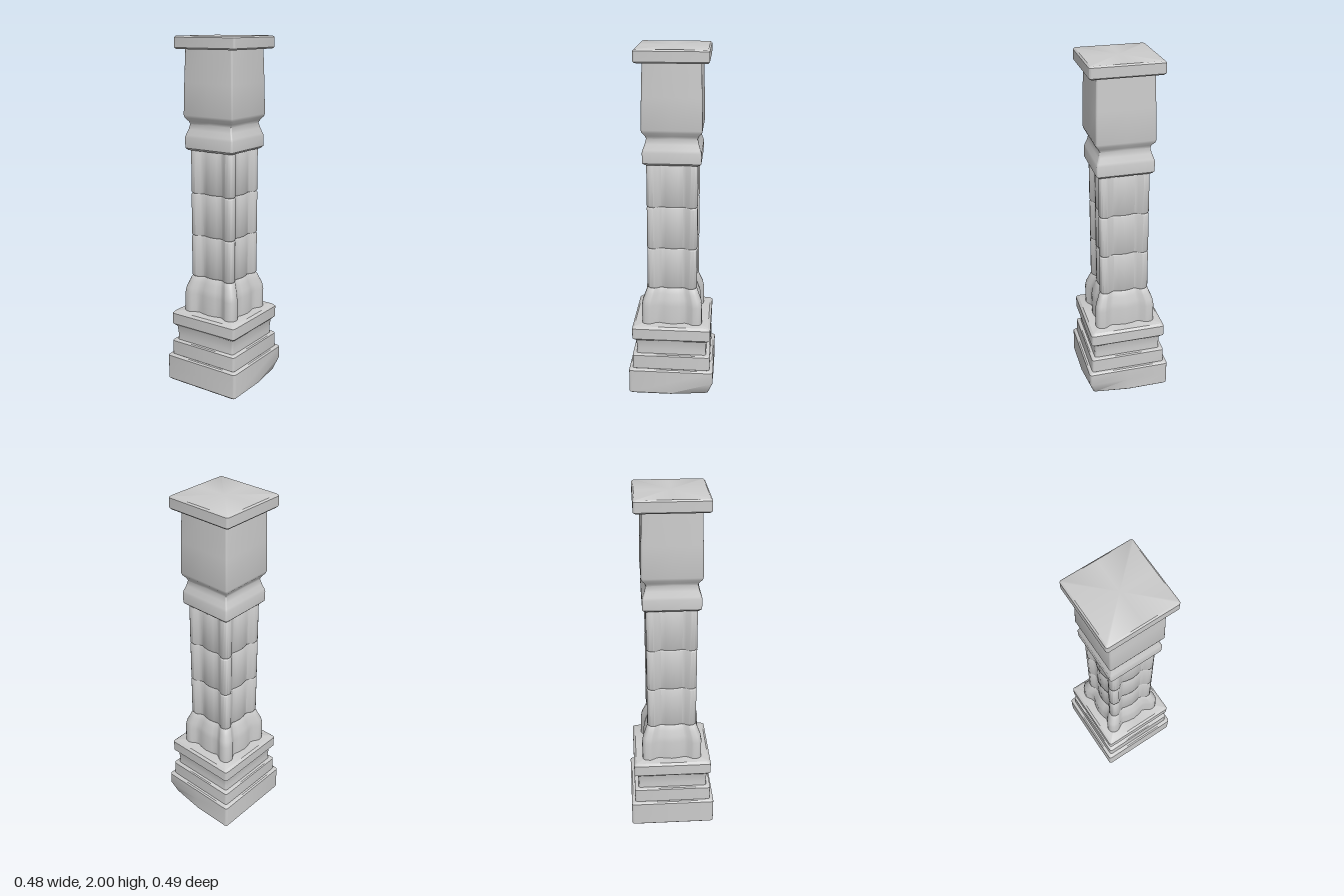
import * as THREE from 'three';
import { toCreasedNormals } from 'three/addons/utils/BufferGeometryUtils.js';

const material = new THREE.MeshStandardMaterial({ color: 0xcccccc });

// Builds a full outline from one side, given as [across, outward] points.
function fourSides(side) {
  const pts = [];
  for (let k = 0; k < 4; k++) {
    const c = Math.round(Math.cos(k * Math.PI / 2)), s = Math.round(Math.sin(k * Math.PI / 2));
    for (const [u, d] of side) pts.push([c * d - s * u, s * d + c * u]);
  }
  return pts;
}

// Quarter-round from the end of one side to the start of the next.
function cornerArc(r, steps) {
  const arc = [];
  for (let i = 0; i <= steps; i++) {
    const a = i / steps * Math.PI / 2;
    arc.push([1 - r + r * Math.sin(a), 1 - r + r * Math.cos(a)]);
  }
  return arc;
}

const square = fourSides([[0, 1], ...cornerArc(0.06, 3)]);

// Rounded corner shafts, a groove either side and a shallow rib in the middle.
const half = [[0.25, 0.9], [0.42, 0.85], [0.54, 0.89], [0.66, 0.97], [0.73, 1]];
const mirrored = half.map(([u, d]) => [-u, d]).reverse();
const fluted = fourSides([...mirrored, [0, 0.935], ...half, ...cornerArc(0.2, 4).slice(1, -1)]);

// Skins an outline through rings of [y, half width, half depth].
function loft(name, outline, rings, adjust) {
  const pos = [], index = [], n = outline.length;
  for (const [y, w, d = w] of rings) {
    for (const [x, z] of outline) {
      const p = new THREE.Vector3(x * w, y, z * d);
      if (adjust) adjust(p);
      pos.push(p.x, p.y, p.z);
    }
  }
  for (let r = 0; r < rings.length - 1; r++) {
    for (let i = 0; i < n; i++) {
      const a = r * n + i, b = r * n + (i + 1) % n;
      index.push(a, a + n, b, b, a + n, b + n);
    }
  }
  const last = (rings.length - 1) * n, low = pos.length / 3;
  pos.push(0, rings[0][0], 0, 0, rings[rings.length - 1][0], 0);
  for (let i = 0; i < n; i++) {
    const j = (i + 1) % n;
    index.push(low, i, j, low + 1, last + j, last + i);
  }
  const g = new THREE.BufferGeometry();
  g.setAttribute('position', new THREE.Float32BufferAttribute(pos, 3));
  g.setIndex(index);
  const mesh = new THREE.Mesh(toCreasedNormals(g, 0.75), material);
  mesh.name = name;
  return mesh;
}

// Slab with softened top and bottom edges.
function slab(name, y0, y1, w, d = w, b = 0.01, adjust) {
  return loft(name, square, [
    [y0, w - b, d - b], [y0 + b, w, d], [(y0 + y1) / 2, w, d], [y1 - b, w, d], [y1, w - b, d - b],
  ], adjust);
}

export function createModel() {
  const pillar = new THREE.Group();
  pillar.name = 'pillar';

  // Stepped base, with one lower corner worn away
  const chip = (p) => {
    if (p.y < 0.05 && p.x > 0.2 && p.z < -0.2) { p.x -= 0.025; p.z += 0.025; }
  };
  pillar.add(slab('plinth', 0, 0.16, 0.24, 0.246, 0.008, chip));
  pillar.add(slab('plinthStep', 0.155, 0.25, 0.22, 0.225, 0.006));
  pillar.add(loft('baseNeck', square, [
    [0.245, 0.198, 0.203], [0.28, 0.196, 0.201], [0.33, 0.2, 0.205], [0.35, 0.206, 0.211],
  ]));
  pillar.add(slab('baseMoulding', 0.34, 0.43, 0.22, 0.226, 0.013));

  // Flared foot of the shaft
  pillar.add(loft('shaftFoot', fluted, [
    [0.425, 0.175], [0.54, 0.175], [0.575, 0.169], [0.61, 0.155], [0.635, 0.146], [0.643, 0.139],
  ]));

  // Three stacked drums with fine joints
  const joints = [0.643, 0.888, 1.134, 1.385];
  for (let i = 0; i < 3; i++) {
    const a = joints[i], b = joints[i + 1];
    pillar.add(loft('shaftDrum' + (i + 1), fluted, [
      [a, 0.138], [a + 0.008, 0.143], [b - 0.008, 0.143], [b, 0.138],
    ]));
  }

  // Capital: collar, waist and tapering block
  pillar.add(loft('capital', square, [
    [1.38, 0.148], [1.392, 0.16], [1.45, 0.161], [1.465, 0.157], [1.495, 0.146], [1.525, 0.139],
    [1.54, 0.145], [1.56, 0.161], [1.575, 0.165], [1.75, 0.161], [1.94, 0.155],
  ]));
  pillar.add(slab('topSlab', 1.93, 2, 0.2, 0.198, 0.008));
  return pillar;
}
